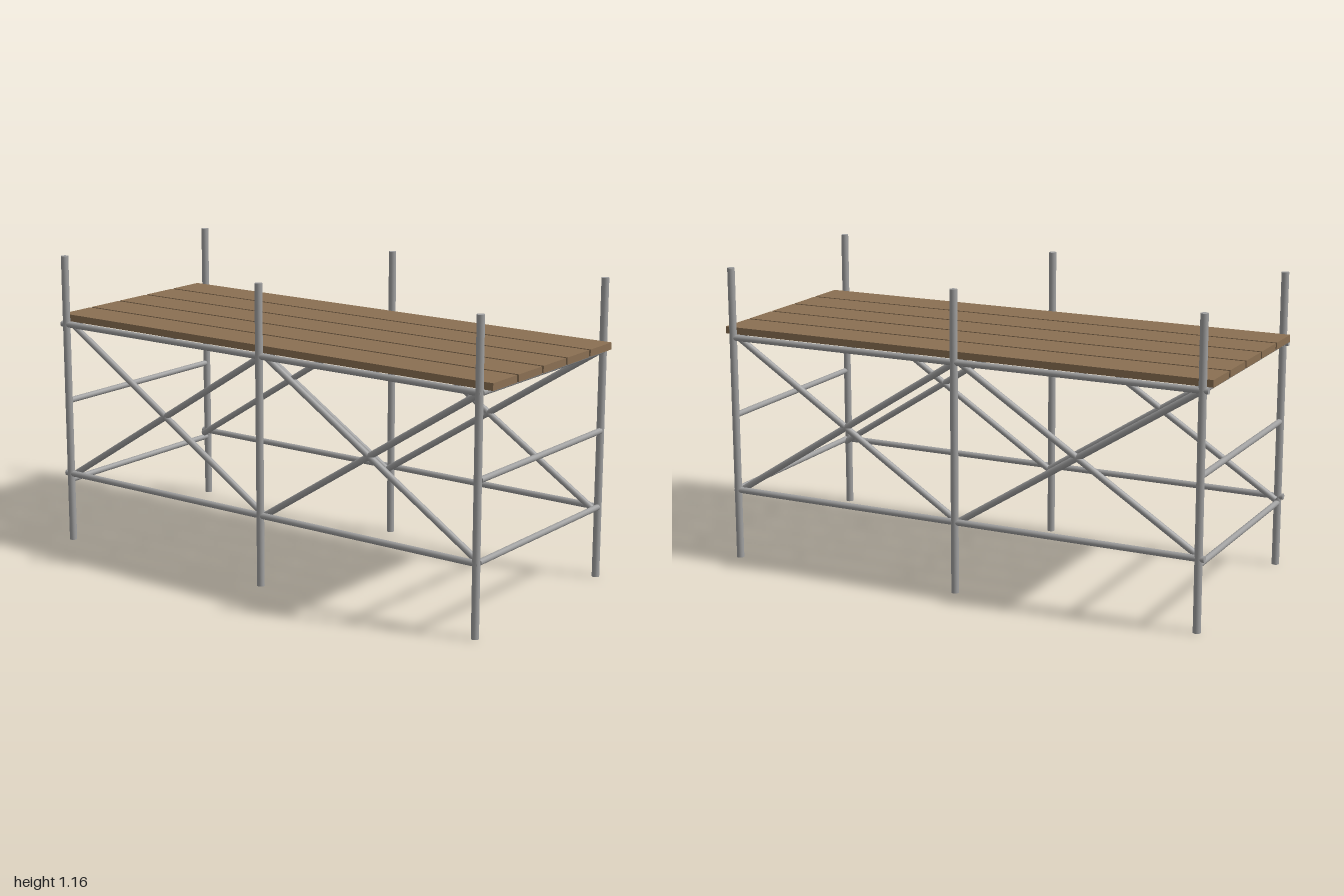
import * as THREE from 'three';

export function createModel() {
  const model = new THREE.Group();
  model.name = 'scaffoldPlatform';

  const steel = new THREE.MeshStandardMaterial({ color: 0xa0a0a0 });
  steel.name = 'galvanised steel';
  const wood = new THREE.MeshStandardMaterial({ color: 0x8b7053 });
  wood.name = 'deck wood';

  const UP = new THREE.Vector3(0, 1, 0);

  // Straight round tube between two points
  function tube(name, from, to, radius) {
    const a = new THREE.Vector3(...from);
    const dir = new THREE.Vector3(...to).sub(a);
    const length = dir.length();
    const mesh = new THREE.Mesh(new THREE.CylinderGeometry(radius, radius, length, 16), steel);
    mesh.name = name;
    mesh.position.copy(a).addScaledVector(dir, 0.5);
    mesh.quaternion.setFromUnitVectors(UP, dir.normalize());
    model.add(mesh);
  }

  const postX = [-0.967, 0, 0.956];
  const postZ = 0.425;
  const braceZ = 0.398;
  const topY = 0.885;
  const lowY = 0.276;

  for (const side of [-1, 1]) {
    // Upright posts
    for (const x of postX) {
      tube('post', [x, 0, side * postZ], [x, 1.157, side * postZ], 0.0145);
    }
    // Long rails
    for (const y of [topY, lowY]) {
      tube('rail', [-0.99, y, side * postZ], [0.966, y, side * postZ], 0.012);
    }
    // Crossed braces in each bay
    for (let i = 0; i < 2; i++) {
      const x0 = postX[i];
      const x1 = postX[i + 1];
      const z = side * braceZ;
      tube('brace', [x0, topY, z], [x1, lowY - 0.007, z], 0.0125);
      tube('brace', [x0, lowY - 0.007, z], [x1, topY, z], 0.0125);
    }
  }

  // Cross bars carrying the deck
  for (const x of [-0.967, -0.482, 0, 0.475, 0.959]) {
    tube('deckBearer', [x, topY - 0.001, -0.415], [x, topY - 0.001, 0.415], 0.0115);
  }

  // End cross bars
  for (const [x, y] of [[-0.967, 0.576], [0.96, 0.576], [-0.967, 0.251], [0.96, 0.278]]) {
    tube('endBar', [x, y, -0.415], [x, y, 0.415], 0.0115);
  }

  // Deck planks
  for (let i = -2; i <= 2; i++) {
    const plank = new THREE.Mesh(new THREE.BoxGeometry(2, 0.027, 0.154), wood);
    plank.name = 'plank';
    plank.position.set(0, 0.908, i * 0.1657);
    model.add(plank);
  }

  return model;
}
